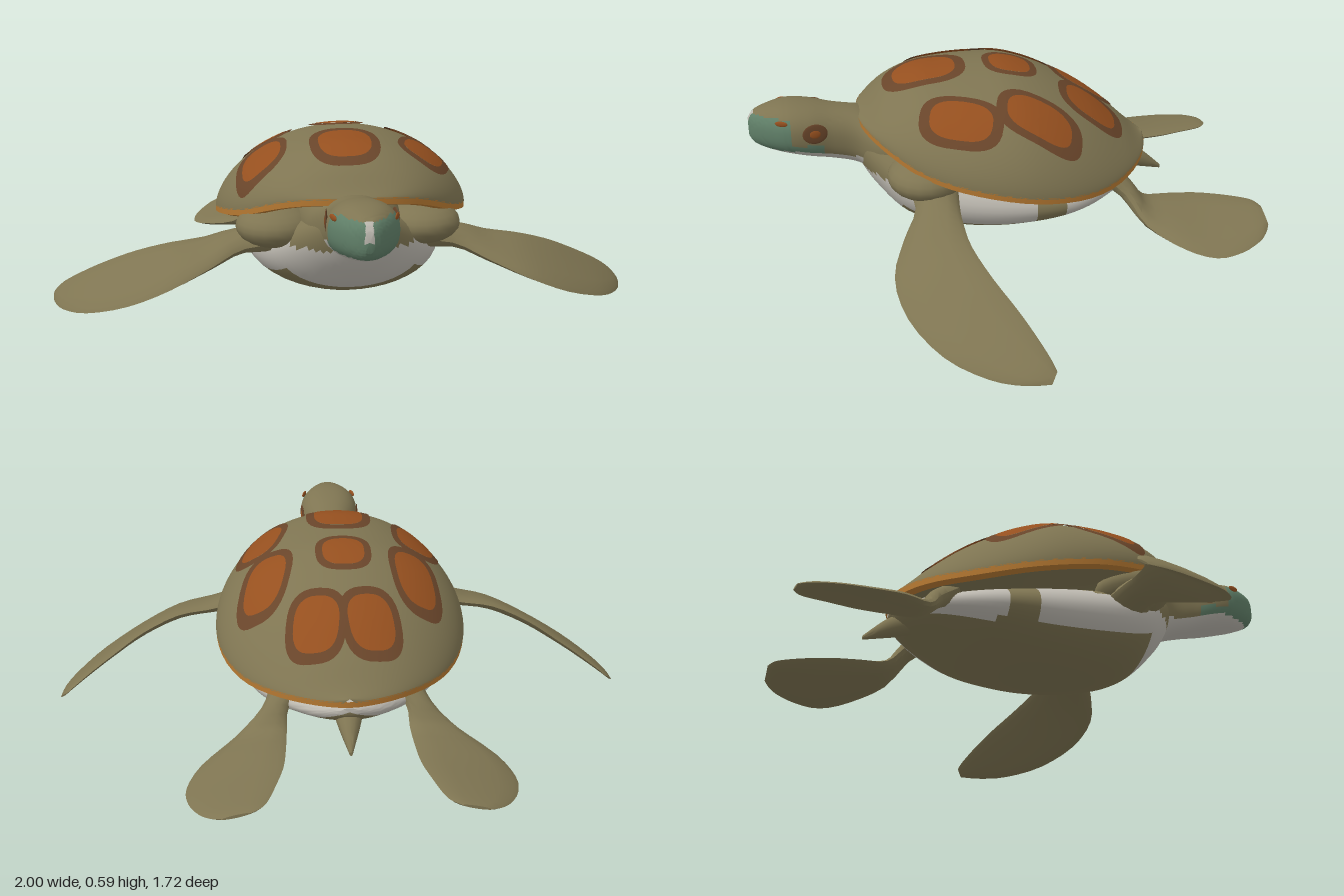
import * as THREE from 'three';
import { toCreasedNormals } from 'three/addons/utils/BufferGeometryUtils.js';

const { lerp, clamp } = THREE.MathUtils;
const mat = (name, color, side = THREE.FrontSide) => {
  const m = new THREE.MeshStandardMaterial({ color, side });
  m.name = name;
  return m;
};

// smooth curve through evenly spaced values, t from 0 to 1
const spline = (values) => {
  const c = new THREE.SplineCurve(values.map((v, i) => new THREE.Vector2(i, v)));
  return (t) => c.getPoint(clamp(t, 0, 1)).y;
};

// rows of section numbers, resampled smoothly to n + 1 rows
const resample = (rows, n) => {
  const cols = rows[0].map((_, k) => spline(rows.map((r) => r[k])));
  return Array.from({ length: n + 1 }, (_, i) => cols.map((f) => f(i / n)));
};

// closed skin over rings of points; paint(quad centre, angle) picks a material index
function loft(name, rings, materials, paint = () => 0) {
  const n = rings[0].length, tris = [];
  const centre = (...p) => p.reduce((s, q) => s.add(q), new THREE.Vector3()).divideScalar(p.length);
  const add = (p, c, j) => tris.push({ p, m: paint(c, ((j + 0.5) / n) * Math.PI * 2) });
  for (let i = 0; i < rings.length - 1; i++) {
    for (let j = 0; j < n; j++) {
      const k = (j + 1) % n, A = rings[i], B = rings[i + 1];
      const c = centre(A[j], A[k], B[j], B[k]);
      add([A[j], A[k], B[k]], c, j);
      add([A[j], B[k], B[j]], c, j);
    }
  }
  for (const [ring, flip] of [[rings[0], true], [rings[rings.length - 1], false]]) {
    const mid = centre(...ring);
    for (let j = 0; j < n; j++) {
      const a = ring[j], b = ring[(j + 1) % n];
      add(flip ? [mid, b, a] : [mid, a, b], centre(mid, a, b), j);
    }
  }
  // turn the skin outward if its volume is negative
  const volume = tris.reduce((s, { p: [a, b, c] }) => s + a.dot(b.clone().cross(c)), 0);
  if (volume < 0) tris.forEach((t) => t.p.reverse());

  const g = new THREE.BufferGeometry(), pos = [];
  materials.forEach((_, m) => {
    const bin = tris.filter((t) => t.m === m);
    if (bin.length) g.addGroup(pos.length / 3, bin.length * 3, m);
    bin.forEach((t) => t.p.forEach((p) => pos.push(p.x, p.y, p.z)));
  });
  g.setAttribute('position', new THREE.Float32BufferAttribute(pos, 3));
  const mesh = new THREE.Mesh(toCreasedNormals(g, 0.7), materials);
  mesh.name = name;
  return mesh;
}

// rings across z from rows of [z, half width, top y, bottom y]
const trunkRings = (rows, steps, sides, power = 1) => {
  const bend = (v) => Math.sign(v) * Math.abs(v) ** power;
  return resample(rows, steps).map(([z, w, top, bot]) =>
    Array.from({ length: sides }, (_, j) => {
      const a = (j / sides) * Math.PI * 2;
      return new THREE.Vector3(w * bend(Math.cos(a)),
        (top + bot) / 2 + ((top - bot) / 2) * bend(Math.sin(a)), z);
    }));
};

// flat blade rings from rows of [edge xyz, other edge xyz, half thickness]
const bladeRings = (rows, side, steps = 24, sides = 12) => {
  const s = resample(rows, steps).map((r) => {
    const a = new THREE.Vector3(side * r[0], r[1], r[2]);
    const b = new THREE.Vector3(side * r[3], r[4], r[5]);
    return { mid: a.clone().add(b).multiplyScalar(0.5), half: a.sub(b).multiplyScalar(0.5), thick: r[6] };
  });
  return s.map(({ mid, half, thick }, i) => {
    const along = s[Math.min(i + 1, steps)].mid.clone().sub(s[Math.max(i - 1, 0)].mid);
    const up = half.clone().cross(along).normalize().multiplyScalar(thick);
    return Array.from({ length: sides }, (_, j) => {
      const a = (j / sides) * Math.PI * 2;
      return mid.clone().addScaledVector(half, Math.cos(a)).addScaledVector(up, Math.sin(a));
    });
  });
};

// open sheet from f(u, v) -> [x, y, z]
function sheet(name, f, nu, nv, material) {
  const pos = [], idx = [];
  for (let i = 0; i <= nu; i++) for (let j = 0; j <= nv; j++) pos.push(...f(i / nu, j / nv));
  for (let i = 0; i < nu; i++) for (let j = 0; j < nv; j++) {
    const a = i * (nv + 1) + j, b = a + nv + 1;
    idx.push(a, b, a + 1, b, b + 1, a + 1);
  }
  const g = new THREE.BufferGeometry();
  g.setAttribute('position', new THREE.Float32BufferAttribute(pos, 3));
  g.setIndex(idx);
  g.computeVertexNormals();
  const mesh = new THREE.Mesh(g, material);
  mesh.name = name;
  return mesh;
}

// shell heights front to back, half width, and height over any point
const ridge = spline([0.455, 0.535, 0.578, 0.588, 0.59, 0.587, 0.56, 0.515, 0.455, 0.375, 0.29]);
const rim = spline([0.45, 0.37, 0.325, 0.287, 0.263, 0.275]);
const L = 0.505, ZC = -0.005;
const width = (z) => {
  const k = clamp((z - ZC) / L, -1, 1);
  return 0.432 * Math.sqrt(1 - k * k) ** (k < 0 ? 1.15 : 1);
};
const shellY = (x, z) => {
  const t = Math.min(1, Math.abs(x) / Math.max(1e-5, width(z)));
  const round = 0.6 + 0.4 * clamp(-z - 0.05, 0, 0.45);
  return lerp(rim(0.5 - z), ridge(0.5 - z), (1 - t * t) ** round);
};

export function createModel() {
  const olive = mat('olive skin', 0x7f7552);
  const shellOlive = mat('olive shell', 0x7f7552, THREE.DoubleSide);
  const pale = mat('pale skin', 0xbdb9b0);
  const teal = mat('teal face', 0x607f68);
  const brown = mat('dark brown', 0x69452a, THREE.DoubleSide);
  const orange = mat('burnt orange', 0x96501f, THREE.DoubleSide);
  const amber = mat('amber rim', 0xb87a32, THREE.DoubleSide);
  const turtle = new THREE.Group();
  turtle.name = 'turtle';

  // shell dome
  turtle.add(sheet('shellDome', (u, v) => {
    const z = ZC + L * Math.cos(u * Math.PI), x = width(z) * Math.sin((v - 0.5) * Math.PI);
    return [x, shellY(x, z), z];
  }, 48, 48, shellOlive));

  // amber lip and the underside of the shell
  const lip = (name, from, to, material) => turtle.add(sheet(name, (u, v) => {
    const a = u * Math.PI * 2, k = lerp(from[0], to[0], v);
    const z = ZC + L * Math.cos(a);
    return [width(z) * k * Math.sign(Math.sin(a)), rim(0.5 - z) + lerp(from[1], to[1], v), ZC + (z - ZC) * k];
  }, 64, 1, material));
  lip('shellRim', [1, 0.004], [0.998, -0.018], amber);
  lip('shellRimUnderside', [0.998, -0.018], [0.95, -0.026], amber);
  lip('shellUnderside', [0.95, -0.026], [0.55, -0.02], shellOlive);

  // shell blotches: orange centre with a brown border [x, z, half x, half z, turn]
  const blotches = [
    [-0.01, 0.265, 0.115, 0.142, 0], [-0.01, -0.03, 0.095, 0.093, 0],
    [-0.085, -0.295, 0.1, 0.112, 0.15], [0.095, -0.295, 0.1, 0.112, -0.15],
    [-0.25, -0.09, 0.085, 0.145, 0.12], [0.258, -0.085, 0.088, 0.142, -0.25],
    [-0.278, 0.175, 0.085, 0.14, -0.05], [0.265, 0.175, 0.082, 0.138, -0.3],
  ];
  blotches.forEach(([cx, cz, rx, rz, turn], i) => {
    const part = (name, r0, r1, lift, material) => turtle.add(sheet(name + (i + 1), (u, v) => {
      const a = u * Math.PI * 2, r = lerp(r0, r1, v);
      const bend = (c) => Math.sign(c) * Math.abs(c) ** 0.75;
      const px = rx * r * bend(Math.cos(a)), pz = rz * r * bend(Math.sin(a));
      const x = cx + px * Math.cos(turn) + pz * Math.sin(turn);
      const z = cz - px * Math.sin(turn) + pz * Math.cos(turn);
      return [x, shellY(x, z) + lift, z];
    }, 32, 6, material));
    part('blotchBorder', 0.74, 1, 0.006, brown);
    part('blotchCentre', 0, 0.75, 0.007, orange);
  });

  // body with olive belly plate, side bridges and shoulders
  const body = [[0.5, 0.08, 0.42, 0.28], [0.45, 0.15, 0.41, 0.2], [0.35, 0.25, 0.38, 0.105],
    [0.2, 0.31, 0.36, 0.062], [0, 0.335, 0.33, 0.055], [-0.2, 0.32, 0.29, 0.09],
    [-0.35, 0.24, 0.265, 0.14], [-0.46, 0.12, 0.255, 0.18], [-0.5, 0.03, 0.25, 0.22]];
  turtle.add(loft('body', trunkRings(body, 48, 40), [pale, olive], (c, a) => {
    const belly = Math.sin(a) < (c.z < -0.2 ? -0.55 : -0.4) && c.z < 0.37;
    const bridge = c.z < -0.06 && c.z > -0.18;
    const shoulder = c.y > 0.28 && c.z > 0.12;
    return belly || bridge || shoulder ? 1 : 0;
  }));

  // neck and head
  const head = [[0.3, 0.17, 0.45, 0.2], [0.42, 0.15, 0.445, 0.23], [0.5, 0.098, 0.465, 0.27],
    [0.58, 0.093, 0.48, 0.293], [0.66, 0.108, 0.498, 0.312], [0.73, 0.106, 0.505, 0.33],
    [0.79, 0.08, 0.497, 0.345], [0.84, 0.044, 0.48, 0.365], [0.86, 0.015, 0.455, 0.39]];
  turtle.add(loft('head', trunkRings(head, 56, 48, 0.85), [olive, pale, teal], (c) => {
    if (c.y < Math.min(0.36, 0.35 + (c.z - 0.65) * 0.2)) return 1;
    if (c.z > 0.84 && Math.abs(c.x) < 0.012 && c.y > 0.42) return 1;
    return c.y < 0.478 && (c.z > 0.72 || (c.z > 0.62 && c.y < 0.385)) ? 2 : 0;
  }));

  // limbs, shoulders, eye patches
  const front = [[0.18, 0.27, 0.36, 0.18, 0.27, 0.18, 0.05], [0.34, 0.25, 0.34, 0.38, 0.265, 0.2, 0.035],
    [0.45, 0.205, 0.39, 0.47, 0.25, 0.2, 0.025], [0.58, 0.15, 0.435, 0.58, 0.235, 0.19, 0.022],
    [0.72, 0.09, 0.41, 0.7, 0.195, 0.145, 0.018], [0.86, 0.04, 0.32, 0.8, 0.145, 0.088, 0.015],
    [0.95, 0.013, 0.2, 0.88, 0.1, 0.045, 0.012], [0.99, 0.008, 0.1, 0.945, 0.058, 0.012, 0.008],
    [1, 0.01, 0.02, 0.975, 0.035, 0, 0.003]];
  const hind = [[0.12, 0.24, -0.34, 0.25, 0.24, -0.32, 0.04], [0.19, 0.2, -0.4, 0.28, 0.19, -0.385, 0.03],
    [0.2, 0.145, -0.46, 0.37, 0.115, -0.44, 0.022], [0.205, 0.14, -0.55, 0.475, 0.08, -0.54, 0.02],
    [0.215, 0.138, -0.65, 0.52, 0.062, -0.64, 0.018], [0.24, 0.135, -0.74, 0.51, 0.068, -0.73, 0.015],
    [0.265, 0.13, -0.81, 0.475, 0.08, -0.8, 0.013], [0.285, 0.127, -0.84, 0.44, 0.09, -0.835, 0.01],
    [0.315, 0.122, -0.857, 0.405, 0.1, -0.855, 0.005]];
  for (const [label, side] of [['left', 1], ['right', -1]]) {
    turtle.add(loft(label + 'FrontFlipper', bladeRings(front, side), [olive]));
    turtle.add(loft(label + 'HindFlipper', bladeRings(hind, side), [olive]));
    const blob = (name, at, size, yaw, material) => {
      const m = new THREE.Mesh(new THREE.SphereGeometry(1, 20, 12), material);
      m.name = label + name;
      m.scale.set(...size);
      m.position.set(side * at[0], at[1], at[2]);
      m.rotation.y = -side * yaw;
      turtle.add(m);
    };
    blob('Shoulder', [0.24, 0.315, 0.29], [0.13, 0.07, 0.13], 0, olive);
    blob('EyePatch', [0.105, 0.427, 0.642], [0.004, 0.036, 0.042], -0.12, brown);
    blob('EyeCentre', [0.107, 0.427, 0.642], [0.004, 0.016, 0.02], -0.12, orange);
    blob('CheekPatch', [0.094, 0.468, 0.75], [0.004, 0.01, 0.022], 0.36, orange);
  }

  // tail
  turtle.add(loft('tail', trunkRings([[-0.4, 0.06, 0.26, 0.17], [-0.5, 0.035, 0.215, 0.145],
    [-0.585, 0.005, 0.14, 0.125]], 10, 12), [olive]));
  return turtle;
}
